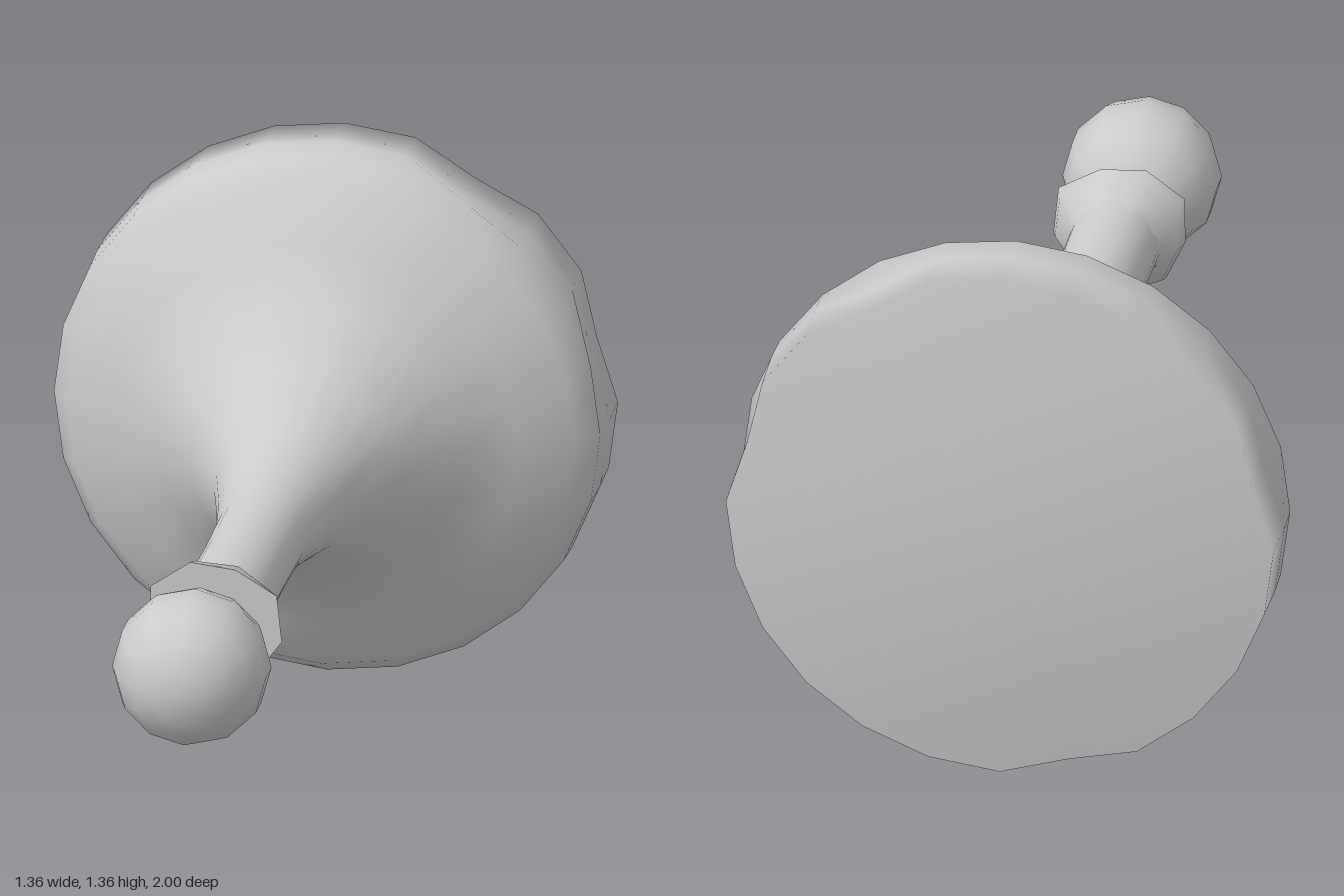
import * as THREE from 'three';

const AXIS_Y = 0.68;

// Lathe whose profile is given as [radius, z], turned about the z axis
function turned(name, profile, sides, material) {
  const geo = new THREE.LatheGeometry(profile.map(([r, z]) => new THREE.Vector2(r, z)), sides);
  geo.rotateX(Math.PI / 2);
  const mesh = new THREE.Mesh(geo, material);
  mesh.name = name;
  mesh.position.y = AXIS_Y;
  return mesh;
}

// Moves each vertex by a rule of its angle, radius and depth: returns [radius, z]
function reshape(mesh, rule) {
  const p = mesh.geometry.attributes.position;
  for (let i = 0; i < p.count; i++) {
    const x = p.getX(i), y = p.getY(i), z = p.getZ(i), r = Math.hypot(x, y);
    if (r < 1e-5) continue;
    const [nr, nz] = rule(Math.atan2(y, x), r, z);
    p.setXYZ(i, (x * nr) / r, (y * nr) / r, nz);
  }
}

export function createModel() {
  const group = new THREE.Group();
  const grey = new THREE.MeshStandardMaterial({ color: 0xcccccc, side: THREE.DoubleSide });

  // Broad flat foot sweeping into a slender stem
  const body = turned('footAndStem', [
    [0, -1], [0.675, -1], [0.678, -0.88], [0.675, -0.79], [0.63, -0.72], [0.5, -0.655],
    [0.38, -0.57], [0.265, -0.43], [0.168, -0.26], [0.135, -0.13], [0.11, 0],
    [0.107, 0.2], [0.11, 0.45], [0.12, 0.5],
  ], 24, grey);

  // Small chips in the rim of the foot
  const chips = [8, 56, 172, 248].map(THREE.MathUtils.degToRad);
  reshape(body, (a, r, z) => {
    const chipped = z < -0.85 && r > 0.6 && chips.some(c => Math.cos(a - c) > Math.cos(0.131));
    return [chipped ? r - 0.03 : r, z];
  });
  group.add(body);

  // Flared, slightly ragged collar
  const collar = turned('collar', [
    [0.108, 0.43], [0.125, 0.48], [0.16, 0.515], [0.17, 0.548], [0.17, 0.548], [0, 0.548],
  ], 9, grey);
  reshape(collar, (a, r, z) => {
    const wave = Math.sin(3 * a + 0.6);
    return [r > 0.12 ? r + 0.012 * wave : r, z > 0.47 && z < 0.53 ? z + 0.015 * wave : z];
  });
  group.add(collar);

  // Short neck between collar and ball
  group.add(turned('neck', [[0.068, 0.54], [0.058, 0.59], [0.055, 0.62], [0.075, 0.67]], 10, grey));

  // Round head
  const ballGeo = new THREE.SphereGeometry(0.193, 12, 9);
  ballGeo.rotateX(Math.PI / 2);
  const ball = new THREE.Mesh(ballGeo, grey);
  ball.name = 'ballHead';
  ball.position.set(0, AXIS_Y, 0.807);
  group.add(ball);

  return group;
}
